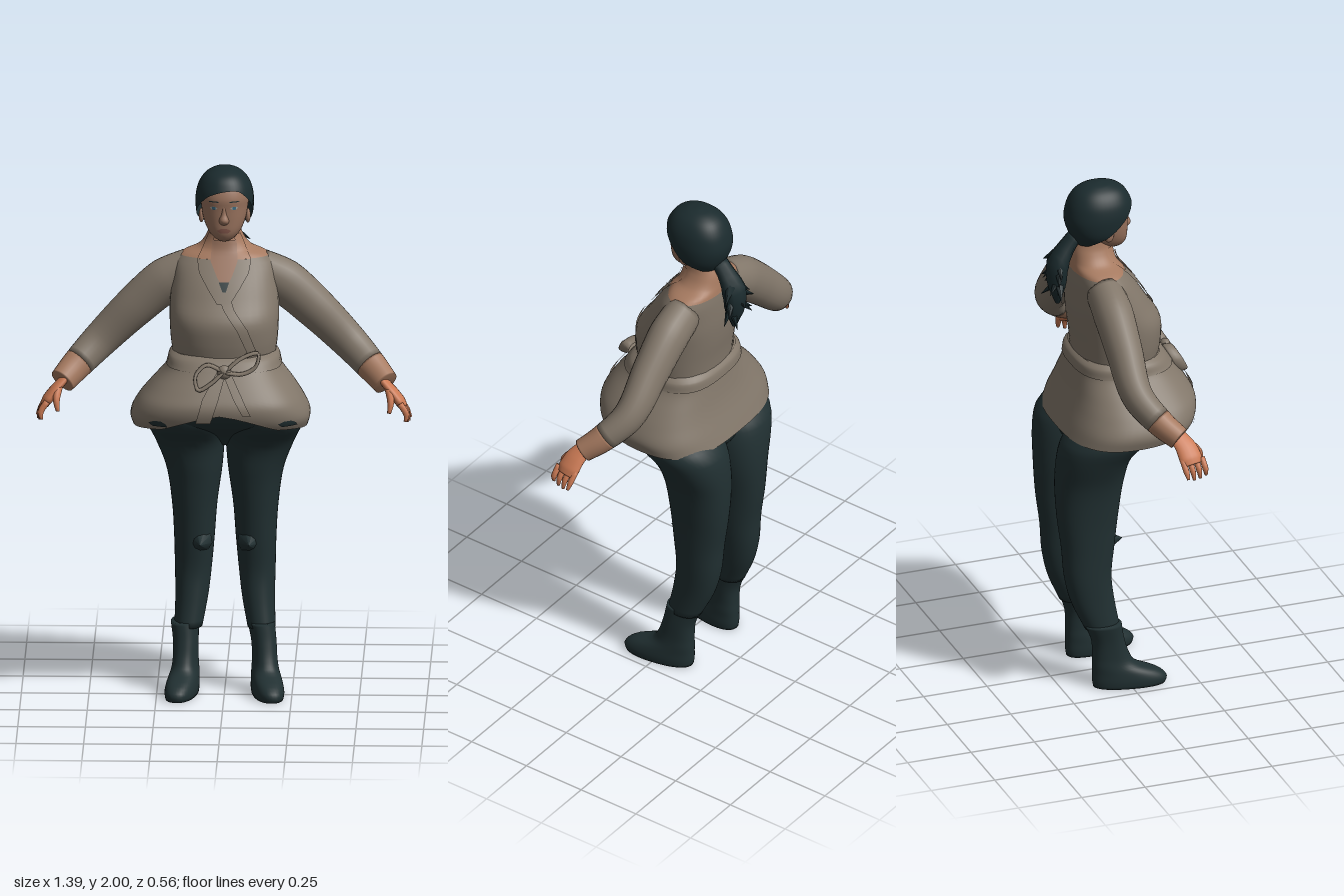
import * as THREE from 'three';

const material = (name, color, extra = {}) => new THREE.MeshStandardMaterial({ name, color, ...extra });

// Builds a surface from rows of points; closed rows wrap around
function grid(rows, closed) {
  const n = rows[0].length, index = [];
  for (let i = 0; i < rows.length - 1; i++) {
    for (let j = 0; j < (closed ? n : n - 1); j++) {
      const a = i * n + j, b = i * n + (j + 1) % n, c = a + n, d = b + n;
      index.push(a, b, c, b, d, c);
    }
  }
  const g = new THREE.BufferGeometry();
  g.setAttribute('position', new THREE.Float32BufferAttribute(rows.flat(2), 3));
  g.setIndex(index);
  g.computeVertexNormals();
  return g;
}

// Smoothly interpolates cross-sections [y, centreX, radiusX, backZ, frontZ], listed top down
function section(rings) {
  const slope = (i, k) => {
    const a = rings[Math.max(i - 1, 0)], b = rings[Math.min(i + 1, rings.length - 1)];
    return (b[k] - a[k]) / (b[0] - a[0]);
  };
  return y => {
    y = THREE.MathUtils.clamp(y, rings.at(-1)[0], rings[0][0]);
    let i = 0;
    while (i < rings.length - 2 && y < rings[i + 1][0]) i++;
    const h = rings[i + 1][0] - rings[i][0], t = (y - rings[i][0]) / h;
    return [1, 2, 3, 4].map(k => {
      const p = rings[i][k], q = rings[i + 1][k];
      return p + (q - p) * t * t * (3 - 2 * t)
        + h * (t * (1 - t) ** 2 * slope(i, k) - t * t * (1 - t) * slope(i + 1, k));
    });
  };
}

// Closed body around a section, from a top height to a bottom height that may vary with angle
function shell(sec, top, bottom, { n = 2.2, rows = 24, cols = 40, grow = 0, cap = false, ease = 1 } = {}) {
  const pts = [];
  for (let i = 0; i <= rows; i++) {
    const row = [];
    for (let j = 0; j < cols; j++) {
      const a = j / cols * Math.PI * 2, c = Math.cos(a), s = Math.sin(a);
      const low = typeof bottom === 'function' ? bottom(c, s) : bottom;
      const y = top + (low - top) * (i / rows) ** ease;
      const [cx, rx, zb, zf] = sec(y);
      row.push([
        cx + (rx + grow) * Math.sign(c) * Math.abs(c) ** (2 / n), y,
        (zb + zf) / 2 + ((zf - zb) / 2 + grow) * Math.sign(s) * Math.abs(s) ** (2 / n)]);
    }
    pts.push(row);
  }
  if (cap) {
    const centre = row => row.map(() => [0, 1, 2].map(k => row.reduce((m, p) => m + p[k], 0) / cols));
    pts.unshift(centre(pts[0]));
    pts.push(centre(pts.at(-1)));
  }
  return grid(pts, true);
}

// Thin patch lying on the front of a section; edges are [y, leftEdge, rightEdge]
function patch(sec, edges, lift, n = 2.2) {
  const rows = [];
  for (let i = 0; i < edges.length - 1; i++) {
    for (let k = i ? 1 : 0; k <= 5; k++) {
      const [y, x0, x1] = edges[i].map((v, m) => v + (edges[i + 1][m] - v) * k / 5);
      const [cx, rx, zb, zf] = sec(y), row = [];
      for (let j = 0; j <= 8; j++) {
        const x = x1 + (x0 - x1) * j / 8;
        const u = Math.min(1, Math.abs((x - cx) / rx));
        row.push([x, y, (zb + zf) / 2 + (zf - zb) / 2 * (1 - u ** n) ** (1 / n) + lift]);
      }
      rows.push(row);
    }
  }
  return grid(rows, false);
}

// Tapering tube through [x, y, z, radius], with optional flattening and a partial range
function limb(points, { from = 0, to = 1, steps = 16, sides = 16, flat = 1, side = 1 } = {}) {
  const curve = new THREE.CatmullRomCurve3(points.map(p => new THREE.Vector3(p[0] * side, p[1], p[2])));
  const rows = [];
  for (let i = 0; i <= steps; i++) {
    const t = from + (to - from) * i / steps, f = t * (points.length - 1);
    const k = Math.min(Math.floor(f), points.length - 2);
    const r = THREE.MathUtils.lerp(points[k][3], points[k + 1][3], f - k);
    const c = curve.getPoint(t), T = curve.getTangent(t);
    const B = new THREE.Vector3(0, 0, 1).addScaledVector(T, -T.z).normalize();
    const N = B.clone().cross(T);
    rows.push(Array.from({ length: sides }, (_, j) => {
      const a = j / sides * Math.PI * 2;
      return c.clone().addScaledVector(N, r * flat * Math.cos(a)).addScaledVector(B, r * Math.sin(a)).toArray();
    }));
  }
  const first = curve.getPoint(from).toArray(), last = curve.getPoint(to).toArray();
  rows.unshift(rows[0].map(() => first));
  rows.push(rows[0].map(() => last));
  return grid(rows, true);
}

export function createModel() {
  const model = new THREE.Group();
  model.name = 'woman';
  const jacket = material('jacket cloth', 0x82776a, { side: THREE.DoubleSide });
  const trousers = material('dark trousers', 0x213032);
  const hair = material('dark hair', 0x1b2b2e, { side: THREE.DoubleSide });
  const skin = material('face skin', 0x98725d);
  const tan = material('neck and forearm skin', 0xa67a60, { side: THREE.DoubleSide });
  const handSkin = material('hand skin', 0xcb7a54);
  const white = material('eye white', 0xa9a49c);
  const iris = material('eye blue', 0x3f6f86);
  const lips = material('lips', 0x83574b);
  const add = (name, geometry, mat) => {
    const mesh = new THREE.Mesh(geometry, mat);
    mesh.name = name;
    model.add(mesh);
    return mesh;
  };

  // Neck, shoulders and wrapped jacket body
  const torso = section([
    [1.79, 0, .055, -.13, -.02], [1.74, 0, .066, -.155, -.015], [1.695, 0, .1, -.165, -.005],
    [1.672, 0, .155, -.168, .01], [1.64, 0, .182, -.172, .035], [1.58, 0, .192, -.175, .08],
    [1.52, 0, .2, -.175, .118], [1.45, 0, .202, -.17, .163], [1.37, 0, .198, -.16, .165],
    [1.3, 0, .19, -.155, .155], [1.2, 0, .19, -.155, .15]]);
  add('neck', shell(torso, 1.79, 1.664), tan);
  add('jacketBody', shell(torso, 1.664, 1.22), jacket);
  add('chest', patch(torso, [[1.73, -.045, .045], [1.66, -.05, .05], [1.61, -.026, .03], [1.575, -.004, .008]], .012), skin);
  add('undershirt', patch(torso, [[1.592, -.018, .02], [1.56, -.004, .008]], .014), trousers);
  for (const s of [-1, 1]) {
    const band = edges => edges.map(([y, a, b]) => s > 0 ? [y, a, b] : [y, -b, -a]);
    add('collar', patch(torso, band([[1.75, .035, .058], [1.7, .045, .08], [1.664, .046, .1]]), .008), tan);
    add('lapel', patch(torso, band([[1.664, .046, .1], [1.62, .03, .092], [1.57, .004, .06], [1.52, -.015, .025]]), .009), jacket);
  }
  add('wrapEdge', patch(torso, [[1.57, -.03, .015], [1.5, .0, .04], [1.43, .05, .09], [1.35, .085, .12], [1.29, .09, .125]], .007), jacket);

  // Flared jacket skirt, raised at the front opening, with sash
  const skirt = section([
    [1.325, 0, .18, -.148, .146], [1.31, 0, .197, -.163, .167], [1.27, 0, .21, -.17, .198], [1.2, -.005, .268, -.185, .248],
    [1.15, -.01, .305, -.2, .272], [1.09, -.013, .332, -.222, .26], [1.04, -.013, .322, -.24, .225]]);
  add('jacketSkirt', shell(skirt, 1.325, (c, s) =>
    1.042 + (s > 0 ? .025 * s + .06 * Math.max(0, 1 - Math.abs(c) / .55) * s : 0), { n: 2.8, cols: 64 }), jacket);
  add('sash', shell(skirt, 1.325, 1.275, { grow: .006, rows: 8, n: 2.8 }), jacket);
  for (const s of [-1, 1]) {
    const x = s * .24;
    add('hemGap', patch(skirt, [[1.1, x - .012, x + .012], [1.09, x - .035, x + .03], [1.078, x - .02, x + .035]], .005, 2.8), trousers);
  }

  // Bow: knot, two loops and two hanging tails
  const knot = add('bowKnot', new THREE.SphereGeometry(.03, 14, 10), jacket);
  knot.scale.set(.9, .9, .7);
  knot.position.set(.005, 1.28, .205);
  const loops = [
    [[.01, 1.285], [.07, 1.33], [.13, 1.345], [.12, 1.3], [.07, 1.275], [.01, 1.28]],
    [[0, 1.285], [-.06, 1.305], [-.1, 1.27], [-.09, 1.22], [-.04, 1.245], [0, 1.28]]];
  for (const p of loops) {
    add('bowLoop', limb(p.map(([x, y]) => [x, y, .205 + (1.285 - y) * .5, .02]),
      { flat: .35, steps: 24, sides: 8 }), jacket);
  }
  add('bowTail', patch(skirt, [[1.275, -.025, .01], [1.19, -.075, -.015], [1.1, -.1, -.045]], .009, 2.8), jacket);
  add('bowTail', patch(skirt, [[1.275, 0, .03], [1.2, .035, .07], [1.13, .075, .105]], .009, 2.8), jacket);

  // Hips under the skirt
  const hips = section([[1.25, 0, .17, -.14, .13], [1.12, 0, .26, -.18, .15], [1.05, 0, .275, -.21, .11],
    [.98, 0, .13, -.2, -.01], [.93, 0, .02, -.15, -.08]]);
  add('hips', shell(hips, 1.25, .93, { cap: true }), trousers);

  for (const s of [-1, 1]) {
    const side = s > 0 ? 'left' : 'right';
    const mirrored = rings => section(rings.map(([y, x, ...rest]) => [y, x * s, ...rest]));

    // Leg, boot and foot
    const leg = mirrored([
      [1.12, .14, .12, -.165, .1], [1.06, .144, .144, -.212, .1], [1.02, .142, .146, -.246, .08], [.95, .13, .129, -.264, .015],
      [.84, .114, .104, -.27, -.01], [.7, .113, .084, -.263, -.03], [.57, .114, .075, -.246, -.045],
      [.45, .118, .068, -.236, -.058], [.35, .123, .061, -.212, -.048], [.24, .135, .052, -.163, -.03]]);
    add(side + 'Leg', shell(leg, 1.12, .24, { rows: 36, cap: true }), trousers);
    const knee = add(side + 'KneeFold', new THREE.ConeGeometry(.045, .075, 9).rotateX(Math.PI / 2), trousers);
    knee.position.set(s * .09, .567, -.037);
    const boot = section([
      [.26, -.008, .05, -.096, .044], [.19, 0, .046, -.068, .056], [.12, .002, .046, -.063, .078],
      [.085, .002, .05, -.064, .105], [.055, .002, .055, -.064, .18], [.025, .002, .058, -.064, .215], [0, .002, .055, -.06, .21]]);
    const foot = add(side + 'Boot', shell(boot, .26, 0, { cap: true, n: 2.3 }), trousers);
    foot.position.set(s * .145, 0, -.072);
    foot.rotation.y = s * .17;

    // Arm: sleeve and bare forearm share one path
    const arm = [[.12, 1.605, -.082, .068], [.22, 1.555, -.083, .074], [.33, 1.46, -.083, .068],
      [.46, 1.33, -.078, .058], [.545, 1.25, -.02, .05], [.598, 1.2, .035, .043]];
    add(side + 'Sleeve', limb(arm, { to: .78, side: s, steps: 24, sides: 24, flat: 1.15 }), jacket);
    add(side + 'Forearm', limb(arm, { from: .78, side: s, sides: 24, flat: 1.15 }), tan);

    // Hand with four fingers and a thumb
    add(side + 'Palm', limb([[.588, 1.21, .03, .034], [.625, 1.172, .052, .042], [.65, 1.14, .06, .045], [.664, 1.118, .064, .036]],
      { flat: .45, side: s }), handSkin);
    for (let i = 0; i < 4; i++) {
      const z = .028 + i * .025;
      add(side + 'Finger', limb([[.652, 1.138, z, .012], [.676, 1.1, z + .006, .0115],
        [.69 - i * .006, 1.062 + Math.abs(i - 1.4) * .007, z + .01, .006]], { side: s, steps: 6, sides: 8 }), handSkin);
    }
    add(side + 'Thumb', limb([[.61, 1.185, .07, .015], [.618, 1.145, .105, .013], [.612, 1.105, .118, .007]],
      { side: s, steps: 6, sides: 8 }), handSkin);
  }

  // Head and face
  const head = section([
    [1.98, 0, .03, -.08, -.03], [1.95, 0, .072, -.13, .025], [1.9, 0, .089, -.15, .05],
    [1.86, 0, .087, -.15, .049], [1.81, 0, .078, -.13, .048], [1.77, 0, .061, -.1, .046],
    [1.745, 0, .04, -.07, .036], [1.733, 0, .02, -.03, .02]]);
  add('head', shell(head, 1.98, 1.733, { cap: true }), skin);
  const nose = section([[1.872, 0, .008, .01, .05], [1.84, 0, .013, .01, .056], [1.82, 0, .019, .01, .066], [1.808, 0, .018, .01, .06], [1.8, 0, .012, .01, .047]]);
  add('nose', shell(nose, 1.872, 1.8, { rows: 12, cols: 16 }), skin);
  add('mouth', patch(head, [[1.787, -.012, .012], [1.779, -.027, .027], [1.77, -.014, .014]], .003), lips);
  for (const s of [-1, 1]) {
    const x = s * .038;
    add('eye', patch(head, [[1.871, x - .007, x + .007], [1.866, x - .015, x + .015], [1.86, x - .007, x + .007]], .003), white);
    add('iris', patch(head, [[1.871, x - .006, x + .006], [1.86, x - .006, x + .006]], .005), iris);
    add('eyebrow', patch(head, [[1.892, x - .014, x + .014], [1.888, x - .02, x + .02]], .003), hair);
    const ear = add('ear', new THREE.SphereGeometry(.025, 12, 8), skin);
    ear.scale.set(.4, 1.1, .75);
    ear.position.set(s * .086, 1.815, -.05);
  }

  // Hair cap with a swept hairline
  const hairForm = section([
    [2, 0, .01, -.07, -.05], [1.995, 0, .036, -.105, -.015], [1.975, 0, .07, -.145, .028],
    [1.94, 0, .095, -.172, .054], [1.9, 0, .106, -.186, .066], [1.86, 0, .108, -.19, .064],
    [1.81, 0, .1, -.176, .05], [1.765, 0, .072, -.15, .02]]);
  const hairline = [[-1, 1.765], [-.6, 1.772], [-.3, 1.788], [0, 1.808], [.33, 1.85], [.64, 1.89], [.85, 1.918], [1.01, 1.93]];
  add('hair', shell(hairForm, 2, (c, s) => {
    const i = Math.max(1, hairline.findIndex(h => h[0] >= s)), [a, b] = [hairline[i - 1], hairline[i]];
    return a[1] + (b[1] - a[1]) * (s - a[0]) / (b[0] - a[0]) + (s > 0 ? .02 * c * s : 0);
  }, { ease: 1.7, cols: 48, cap: false }).translate(0, 0, 0), hair);
  const crown = add('crown', new THREE.SphereGeometry(.03, 16, 8), hair);
  crown.scale.set(1, .25, 1.2);
  crown.position.set(0, 1.992, -.06);

  // Ponytail with ragged tips
  add('ponytail', limb([[0, 1.8, -.15, .026], [0, 1.755, -.185, .03], [0, 1.69, -.222, .042],
    [0, 1.61, -.225, .036], [0, 1.53, -.222, .008]], { sides: 9, steps: 10, flat: 1.25 }), hair);
  for (let i = 0; i < 11; i++) {
    const a = i * 2.4, from = new THREE.Vector3(.03 * Math.cos(a), 1.715 - i * .011, -.225);
    const dir = new THREE.Vector3(Math.cos(a) * .9, -.6, -.3 + .25 * Math.sin(a)).normalize();
    const tuft = add('hairTuft', new THREE.ConeGeometry(.02, .085, 5), hair);
    tuft.quaternion.setFromUnitVectors(new THREE.Vector3(0, 1, 0), dir);
    tuft.position.copy(from).addScaledVector(dir, .035);
  }
  return model;
}
